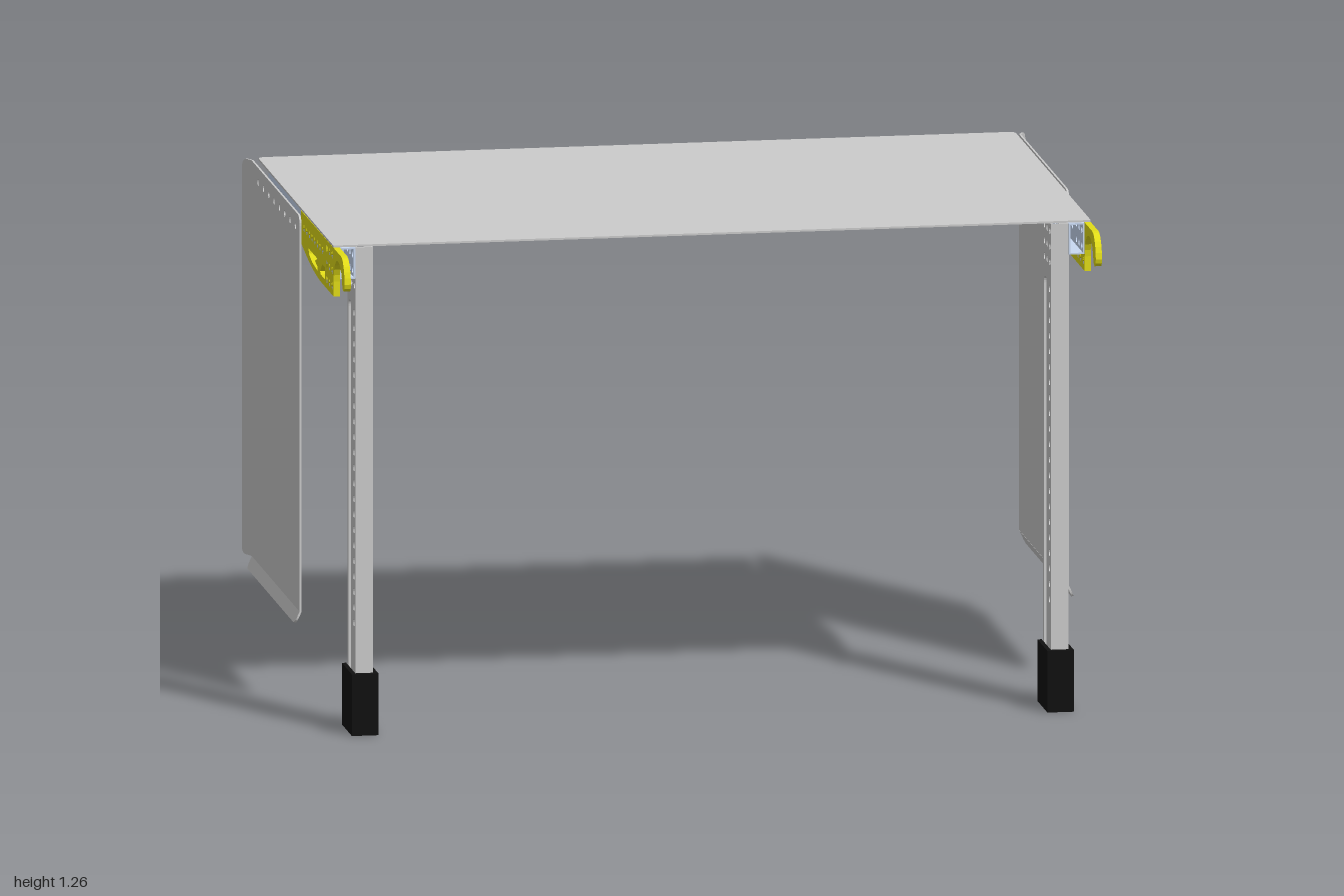
import * as THREE from 'three';

const paint = (color) => new THREE.MeshStandardMaterial({ color });
const grey = paint(0xcccccc), yellow = paint(0xe2dd18), black = paint(0x111111), steel = paint(0xc9d9f2);
const PITCH = 0.0398; // spacing of the perforations
const ROW = 1.213; // height of the hole row along the rail

// Rectangle path with a radius per corner: bottom-left, bottom-right, top-right, top-left
function rect(Target, x0, y0, x1, y1, [a, b, c, d] = [0, 0, 0, 0]) {
  const p = new Target();
  p.moveTo(x0 + a, y0).lineTo(x1 - b, y0);
  if (b) p.quadraticCurveTo(x1, y0, x1, y0 + b);
  p.lineTo(x1, y1 - c);
  if (c) p.quadraticCurveTo(x1, y1, x1 - c, y1);
  p.lineTo(x0 + d, y1);
  if (d) p.quadraticCurveTo(x0, y1, x0, y1 - d);
  p.lineTo(x0, y0 + a);
  if (a) p.quadraticCurveTo(x0, y0, x0 + a, y0);
  return p;
}

function drill(shape, points, r = 0.009) {
  for (const [x, y] of points) shape.holes.push(new THREE.Path().absarc(x, y, r, 0, Math.PI * 2, true));
  return shape;
}

const row = (n, f) => Array.from({ length: n }, (_, i) => f(i));
const grid = (ys) => ys.flatMap((y) => row(3, (i) => [0.488 - i * PITCH, y]));

// Sheet whose outline is drawn in (z, y), with its thickness centred on x
function plate(name, shape, thick, material, x = 0) {
  const g = new THREE.ExtrudeGeometry(shape, { depth: thick, bevelEnabled: false, curveSegments: 6 });
  g.translate(0, 0, -thick / 2).rotateY(-Math.PI / 2);
  const m = new THREE.Mesh(g, material);
  m.name = name;
  m.position.x = x;
  return m;
}

function box(name, w, h, d, x, y, z, material) {
  const m = new THREE.Mesh(new THREE.BoxGeometry(w, h, d), material);
  m.name = name;
  m.position.set(x, y, z);
  return m;
}

// Yellow bracket ending in a hook
function hook(s) {
  const p = new THREE.Shape();
  p.moveTo(0.02, 1.25).lineTo(0.62, 1.252);
  p.bezierCurveTo(0.652, 1.252, 0.672, 1.222, 0.675, 1.19);
  p.bezierCurveTo(0.673, 1.163, 0.642, 1.163, 0.637, 1.185);
  p.bezierCurveTo(0.628, 1.215, 0.607, 1.23, 0.575, 1.23);
  p.bezierCurveTo(0.535, 1.23, 0.509, 1.2, 0.509, 1.165);
  p.lineTo(0.509, 1.127).lineTo(0.3, 1.127);
  p.quadraticCurveTo(0.19, 1.132, 0.09, 1.153).lineTo(0.02, 1.168);
  drill(p, [...grid([1.23, 1.19, 1.15]), ...row(9, (i) => [0.346 - i * PITCH, ROW])]);
  // lightening slots
  const slots = [
    [[0.382, 1.176], [0.34, 1.176], [0.308, 1.152], [0.314, 1.145], [0.382, 1.145]],
    [[0.268, 1.176], [0.136, 1.176], [0.138, 1.163], [0.19, 1.151], [0.264, 1.145], [0.27, 1.155], [0.23, 1.163]],
  ];
  for (const c of slots) p.holes.push(new THREE.Path(c.map(([z, y]) => new THREE.Vector2(z, y))));
  return plate('hookBracket', p, 0.016, yellow, s * 0.958);
}

// Perforated rectangular tube under the edge of the top
function rail(s) {
  const g = new THREE.Group();
  g.name = 'rail';
  const holes = [...grid([1.23, 1.19]), ...row(23, (i) => [0.346 - i * PITCH, ROW])];
  for (const x of [0.912, 0.948])
    g.add(plate('railWall', drill(rect(THREE.Shape, -0.56, 1.17, 0.505, 1.25), holes), 0.004, steel, s * x));
  const under = drill(rect(THREE.Shape, -0.56, -0.016, 0.505, 0.016), row(23, (i) => [0.346 - i * PITCH, 0]));
  const floor = plate('railFloor', under, 0.004, steel, s * 0.93);
  floor.rotation.z = Math.PI / 2;
  floor.position.y = 1.172;
  g.add(floor, box('railRoof', 0.032, 0.004, 1.065, s * 0.93, 1.248, -0.0275, steel));
  return g;
}

// Channel leg, open to the back, with recessed perforated strips
function leg(s) {
  const g = new THREE.Group();
  g.name = 'leg';
  const cx = s * 0.887, holes = row(21, (i) => [0.447, 1.072 - i * PITCH]);
  for (const e of [-1, 1]) {
    const wall = drill(rect(THREE.Shape, 0.385, 0.02, 0.505, 1.25), grid([1.23, 1.19, 1.15]));
    wall.holes.push(rect(THREE.Path, 0.402, 0.06, 0.49, 1.1, [0, 0, 0.02, 0.02]));
    g.add(plate('legWall', wall, 0.006, grey, cx + e * 0.0195));
    const strip = drill(rect(THREE.Shape, 0.4, 0.05, 0.492, 1.105), holes);
    g.add(plate('legStrip', strip, 0.004, grey, cx + e * 0.0145));
  }
  g.add(box('legFront', 0.034, 1.23, 0.006, cx, 0.635, 0.502, grey));
  // foot: U-shaped sleeve
  for (const e of [-1, 1]) g.add(box('footCheek', 0.011, 0.158, 0.15, cx + e * 0.0285, 0.079, 0.445, black));
  g.add(box('footFront', 0.046, 0.158, 0.014, cx, 0.079, 0.513, black));
  return g;
}

// Side panel with flared back and bottom flanges
function sidePanel(s) {
  const g = new THREE.Group();
  g.name = 'sidePanel';
  g.position.x = s * 0.979;
  const sheet = drill(rect(THREE.Shape, -0.63, 0.235, 0.09, 1.25, [0, 0, 0.025, 0]),
    row(8, (i) => [0.027 - i * 2 * PITCH, ROW]));
  const back = plate('backFlange', rect(THREE.Shape, -0.044, 0.235, 0, 1.25, [0.018, 0, 0, 0.025]), 0.005, grey);
  back.position.z = -0.63;
  back.rotation.y = -s * 0.42;
  const low = plate('bottomFlange', rect(THREE.Shape, -0.625, -0.033, 0.09, 0, [0.02, 0.02, 0, 0]), 0.005, grey);
  low.position.y = 0.235;
  low.rotation.z = s * 0.42;
  g.add(plate('panelSheet', sheet, 0.005, grey), back, low);
  return g;
}

export function createModel() {
  const model = new THREE.Group();
  // table top, rounded at the back corners
  const top = new THREE.ExtrudeGeometry(rect(THREE.Shape, -0.966, -0.505, 0.966, 0.63, [0, 0, 0.02, 0.02]),
    { depth: 0.005, bevelEnabled: false, curveSegments: 6 });
  top.rotateX(-Math.PI / 2).translate(0, 1.252, 0);
  const mesh = new THREE.Mesh(top, grey);
  mesh.name = 'tableTop';
  model.add(mesh);

  for (const s of [1, -1]) {
    const side = new THREE.Group();
    side.name = s > 0 ? 'leftSide' : 'rightSide';
    side.add(hook(s), rail(s), leg(s), sidePanel(s));
    model.add(side);
  }
  return model;
}
